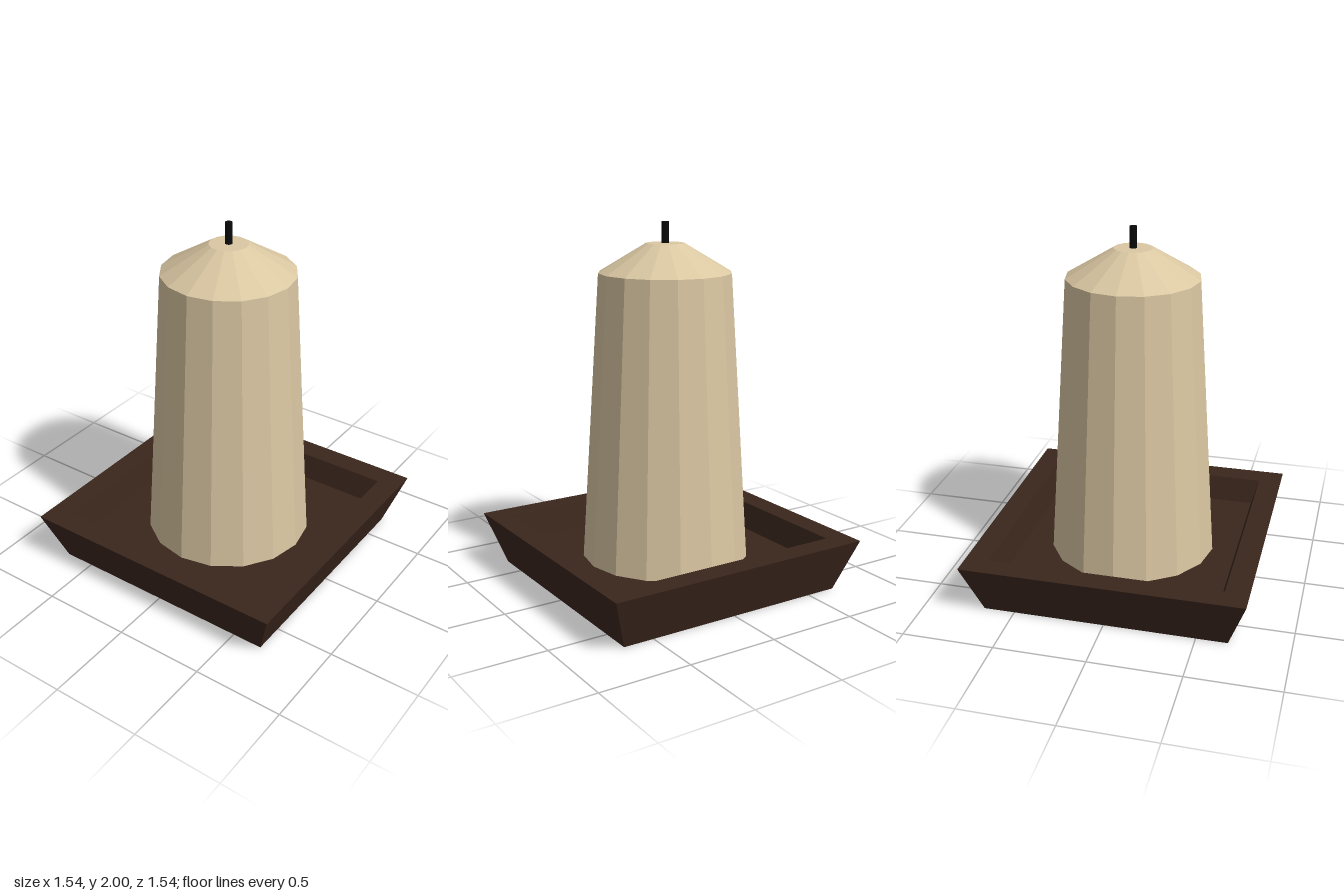
import * as THREE from 'three';

// Flat-shaded solid turned from a profile of [radius, y] pairs
function turned(name, profile, sides, color) {
  const points = profile.map(([r, y]) => new THREE.Vector2(r, y));
  const mesh = new THREE.Mesh(
    new THREE.LatheGeometry(points, sides),
    new THREE.MeshStandardMaterial({ color, flatShading: true })
  );
  mesh.name = name;
  return mesh;
}

export function createModel() {
  const group = new THREE.Group();
  group.name = 'candleOnTray';

  // Square tray: a four-sided turning whose half widths become corner radii
  const trayProfile = [[0, 0], [0.67, 0], [0.77, 0.29], [0.64, 0.29], [0.6, 0.15], [0, 0.15]];
  const tray = turned('tray', trayProfile.map(([w, y]) => [w * Math.SQRT2, y]), 4, 0x3a261c);
  tray.rotation.y = Math.PI / 4;
  group.add(tray);

  // Tapered wax body with a sloping shoulder and a small flat top
  group.add(turned('waxBody', [[0, 0.15], [0.465, 0.15], [0.362, 1.73], [0.104, 1.885], [0, 1.885]], 16, 0xdac7a2));

  // Wick
  group.add(turned('wick', [[0, 1.87], [0.02, 1.87], [0.02, 2], [0, 2]], 12, 0x0a0a0a));

  return group;
}
